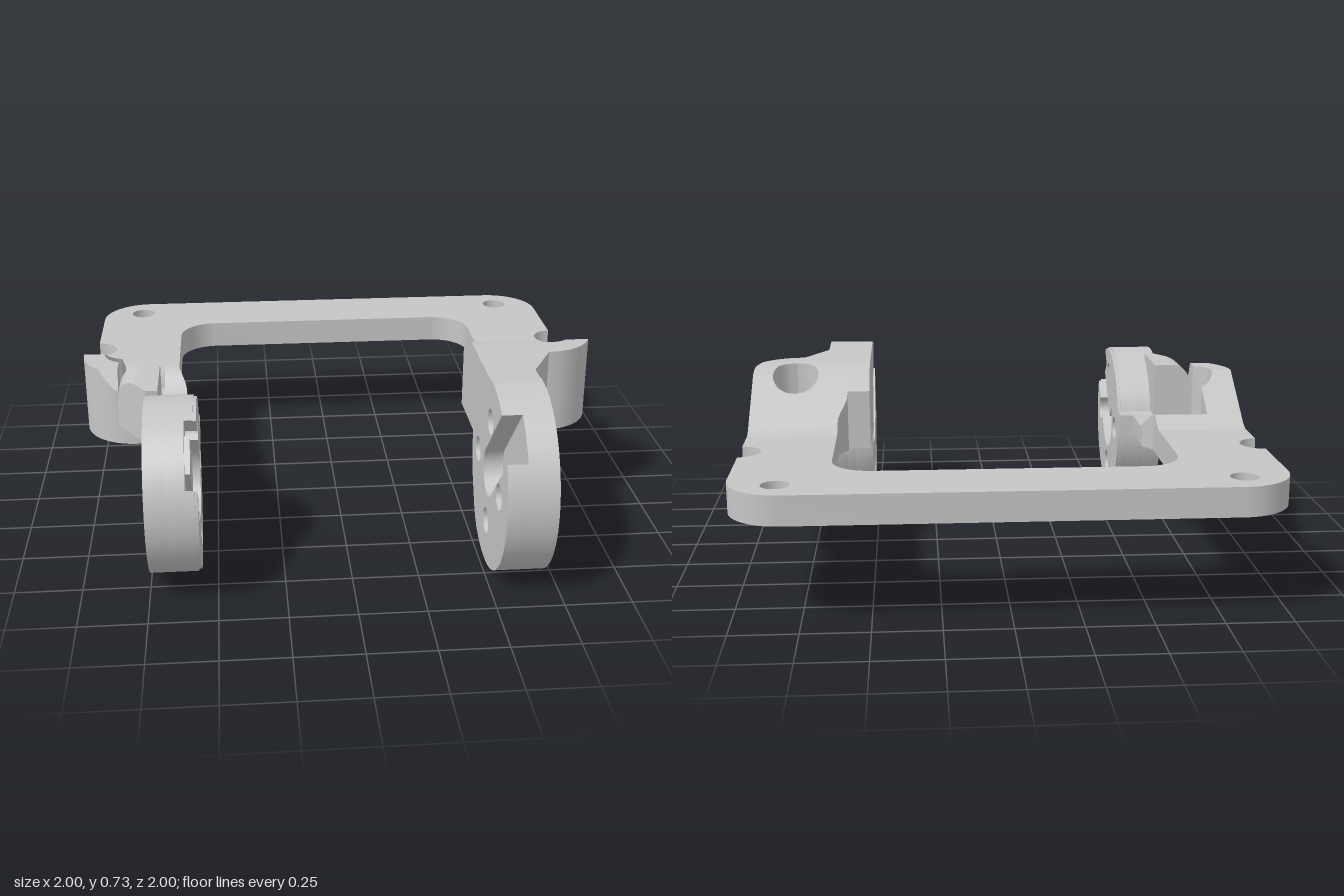
import * as THREE from 'three';
import { toCreasedNormals } from 'three/addons/utils/BufferGeometryUtils.js';

const rad = THREE.MathUtils.degToRad;
const { lerp, smoothstep } = THREE.MathUtils;

// Points along an arc, angles in degrees
function arc(cx, cy, r, a0, a1, n = 16) {
  return Array.from({ length: n + 1 }, (_, i) => {
    const a = rad(a0 + (a1 - a0) * i / n);
    return [cx + r * Math.cos(a), cy + r * Math.sin(a)];
  });
}
const circle = (cx, cy, r) => arc(cx, cy, r, 0, 350, 35);

// Outline is wound counter-clockwise so that hole walls face inwards
function extrude(points, holes, depth) {
  const vec = list => list.map(([a, b]) => new THREE.Vector2(a, -b));
  const outline = vec(points);
  if (THREE.ShapeUtils.isClockWise(outline)) outline.reverse();
  const shape = new THREE.Shape(outline);
  shape.holes = holes.map(h => new THREE.Path(vec(h)));
  return new THREE.ExtrudeGeometry(shape, { depth, bevelEnabled: false });
}

// Plate drawn in (x, z), between two heights
function plan(points, holes, y0, y1) {
  const g = extrude(points, holes, y1 - y0);
  g.rotateX(-Math.PI / 2).translate(0, y0, 0);
  return toCreasedNormals(g, 0.5);
}

// Slab drawn in (z, y), between two x positions
function side(points, holes, x0, x1) {
  const flip = list => list.map(([z, y]) => [-z, -y]);
  const g = extrude(flip(points), holes.map(flip), x1 - x0);
  g.rotateY(Math.PI / 2).translate(x0, 0, 0);
  return toCreasedNormals(g, 0.5);
}

// Block made of rectangular cross-sections along z
function loft(z0, z1, steps, xIn, xOut, bottom, top) {
  const pos = [], idx = [];
  for (let k = 0; k <= steps; k++) {
    const z = z0 + (z1 - z0) * k / steps, a = xIn(z), b = xOut(z), t = top(z);
    pos.push(a, bottom, z, b, bottom, z, b, t, z, a, t, z);
  }
  for (let k = 0; k < steps; k++) {
    for (let j = 0; j < 4; j++) {
      const a = k * 4 + j, b = k * 4 + (j + 1) % 4;
      idx.push(a, b, b + 4, a, b + 4, a + 4);
    }
  }
  const e = steps * 4;
  idx.push(0, 2, 1, 0, 3, 2, e, e + 1, e + 2, e, e + 2, e + 3);
  const g = new THREE.BufferGeometry();
  g.setAttribute('position', new THREE.Float32BufferAttribute(pos, 3));
  g.setIndex(idx);
  return toCreasedNormals(g, 0.5);
}

// Ramp height along z
const ramp = [[-0.17, 0.505], [-0.13, 0.522], [0.12, 0.69], [0.18, 0.717], [0.24, 0.725]];
function rampTop(z) {
  for (let i = 1; i < ramp.length; i++) {
    const [a, ya] = ramp[i - 1], [b, yb] = ramp[i];
    if (z <= b) return ya + (yb - ya) * Math.max(0, (z - a) / (b - a));
  }
  return 0.725;
}
const outerEdge = z => z < 0.13 ? 1 : 0.8 + Math.sqrt(Math.max(0, 0.04 - (z - 0.13) ** 2));
const innerEdge = z => 0.645 - 0.035 * smoothstep(z, -0.1, 0.02);

export function createModel() {
  const model = new THREE.Group();
  const grey = new THREE.MeshStandardMaterial({ color: 0xc6c6c6 });
  grey.name = 'plain grey';
  const add = (name, geometry) => {
    const mesh = new THREE.Mesh(geometry, grey);
    mesh.name = name;
    model.add(mesh);
  };

  // U-shaped base frame with edge notches and screw holes
  const half = [
    ...arc(0.495, -0.56, 0.15, -90, 0),
    [0.645, -0.07], [1, -0.07],
    ...arc(1, -0.41, 0.08, 90, 270),
    ...arc(0.8, -0.8, 0.2, 0, -90),
  ];
  const mirrored = half.map(([x, z]) => [-x, z]).reverse();
  add('baseFrame', plan([...half, ...mirrored],
    [circle(0.825, -0.87, 0.052), circle(-0.825, -0.87, 0.052)], 0.395, 0.505));

  // Front pads under both arms
  for (const s of [1, -1]) {
    const pad = [
      [0.645, -0.07], [0.63, -0.03], [0.61, 0], [0.61, 0.24], [0.7, 0.24], [0.7, 0.33],
      ...arc(0.8, 0.13, 0.2, 90, 0), [1, -0.07],
    ].map(([x, z]) => [s * x, z]);
    add(s > 0 ? 'leftPad' : 'rightPad', plan(pad, [circle(s * 0.825, 0.125, 0.052)], 0.395, 0.47));
  }

  // Sloped boss, split around its deep screw well
  const wellX = 0.825, wellZ = 0.125, wellR = 0.093;
  const well = z => Math.sqrt(Math.max(0, wellR ** 2 - (z - wellZ) ** 2));
  const z0 = wellZ - wellR, z1 = wellZ + wellR;
  add('bossRear', loft(-0.17, z0, 20, innerEdge, outerEdge, 0.47, rampTop));
  add('bossInner', loft(z0, z1, 32, innerEdge, z => wellX - well(z), 0.47, rampTop));
  add('bossOuter', loft(z0, z1, 32, z => wellX + well(z), outerEdge, 0.47, rampTop));
  add('bossFront', loft(z1, 0.33, 20, innerEdge, outerEdge, 0.47, rampTop));
  add('leftWeb', plan([[0.7, 0.33], [0.8, 0.33], [0.705, 0.51], [0.7, 0.51]], [], 0.47, 0.725));

  // Large mounting disc with arm: slotted, plain and counterbored layers
  const cz = 0.635, cy = 0.368, R = 0.365;
  const boltHoles = (z, r) => [0, 90, 180, 270].map(a =>
    circle(z + 0.205 * Math.cos(rad(a)), 0.37 + 0.205 * Math.sin(rad(a)), r));
  const armRoot = [
    [0.3, 0.725], [0.24, 0.725], [0.18, 0.717], [0.12, 0.69], [0.04, rampTop(0.04)],
    [0.04, 0.395], [0.31, 0.395], [0.312, 0.31], [0.335, 0.23], [0.4, 0.11], [0.43, 0.072],
  ];
  const armSolid = [...armRoot, ...arc(cz, cy, R, -118, 99, 48)];
  const gap = 14.6;
  const armSlotted = [
    ...armRoot,
    ...arc(cz, cy, R, -118, 45 - gap, 36),
    ...arc(cz, cy, 0.092, -45, -225, 20),
    ...arc(cz, cy, R, 45 + gap, 99, 10),
  ];
  add('leftDiscSlotLayer', side(armSlotted, boltHoles(cz, 0.05), 0.52, 0.595));
  add('leftDiscMiddle', side(armSolid, boltHoles(cz, 0.05), 0.595, 0.63));
  add('leftDiscCounterbores', side(armSolid, boltHoles(cz, 0.103), 0.63, 0.706));

  // Cut-away ramp: inner strip blends down, the rest ends in a short bevel
  const wallTop = z => z > 0.28 ? lerp(0.69, 0.61, (z - 0.28) / 0.04) : Math.min(0.69, rampTop(z));
  const rampEnd = rampTop(-0.09);
  add('rightRamp', loft(-0.17, -0.09, 8, () => -1, z => -innerEdge(z), 0.47, wallTop));
  add('rightRampBevel', loft(-0.09, -0.05, 1, () => -0.9, () => -0.7, 0.47,
    z => lerp(rampEnd, 0.471, (z + 0.09) / 0.04)));
  add('rightRampStrip', loft(-0.09, 0.05, 12, () => -0.7, z => -innerEdge(z), 0.47,
    z => lerp(rampEnd, 0.471, smoothstep(z, -0.09, 0.05))));

  // Outer wall around the screw seat, and the rounded web to the disc
  add('rightWall', loft(-0.09, 0.32, 82, z => -outerEdge(z),
    z => Math.min(-0.86, -wellX - well(z)), 0.47, wallTop));
  const web = loft(-0.865, -0.7, 33,
    x => -lerp(0.32, 0.51, Math.min(1, (x + 0.865) / 0.12)), () => -0.24, 0.47,
    x => x < -0.78 ? 0.56 + 0.13 * Math.sqrt(Math.max(0, 1 - ((x + 0.78) / 0.085) ** 2)) : 0.69);
  add('rightWeb', web.rotateY(Math.PI / 2));
  add('rightStub', plan([[-0.72, 0.24], [-0.557, 0.24], [-0.557, 0.32], [-0.72, 0.32]], [], 0.395, 0.47));

  // Smaller mounting disc
  const dz = 0.63, dy = 0.37;
  const rim = r => arc(dz, dy, r, 0, 354, 59);
  add('rightDiscCounterbores', side(rim(0.325), boltHoles(dz, 0.103), -0.745, -0.67));
  add('rightDiscMiddle', side(rim(0.325), boltHoles(dz, 0.05), -0.67, -0.6));

  // Slotted face: the slot opens diagonally and cuts into two bolt holes
  const toDisc = ([t, s]) => [dz + (t - s) * Math.SQRT1_2, dy + (t + s) * Math.SQRT1_2];
  const slotted = r => {
    const a = THREE.MathUtils.radToDeg(Math.asin(0.13 / r));
    return [
      ...arc(0, 0, r, a, 360 - a, 52),
      ...arc(0.145, -0.145, 0.05, 17.5, -197.5, 16),
      ...arc(0, 0, 0.13, -90, -270, 20),
      ...arc(0.145, 0.145, 0.05, 197.5, -17.5, 16),
    ].map(toDisc);
  };
  const farHoles = boltHoles(dz, 0.05).slice(2);
  add('rightDiscFace', side(slotted(0.325), farHoles, -0.6, -0.568));
  add('rightDiscFaceEdge', side(slotted(0.318), farHoles, -0.568, -0.557));
  add('slotTongue', side([[0.05, -0.07], [0.3, -0.07], [0.3, 0.07], [0.05, 0.07]].map(toDisc),
    [], -0.605, -0.58));

  return model;
}
